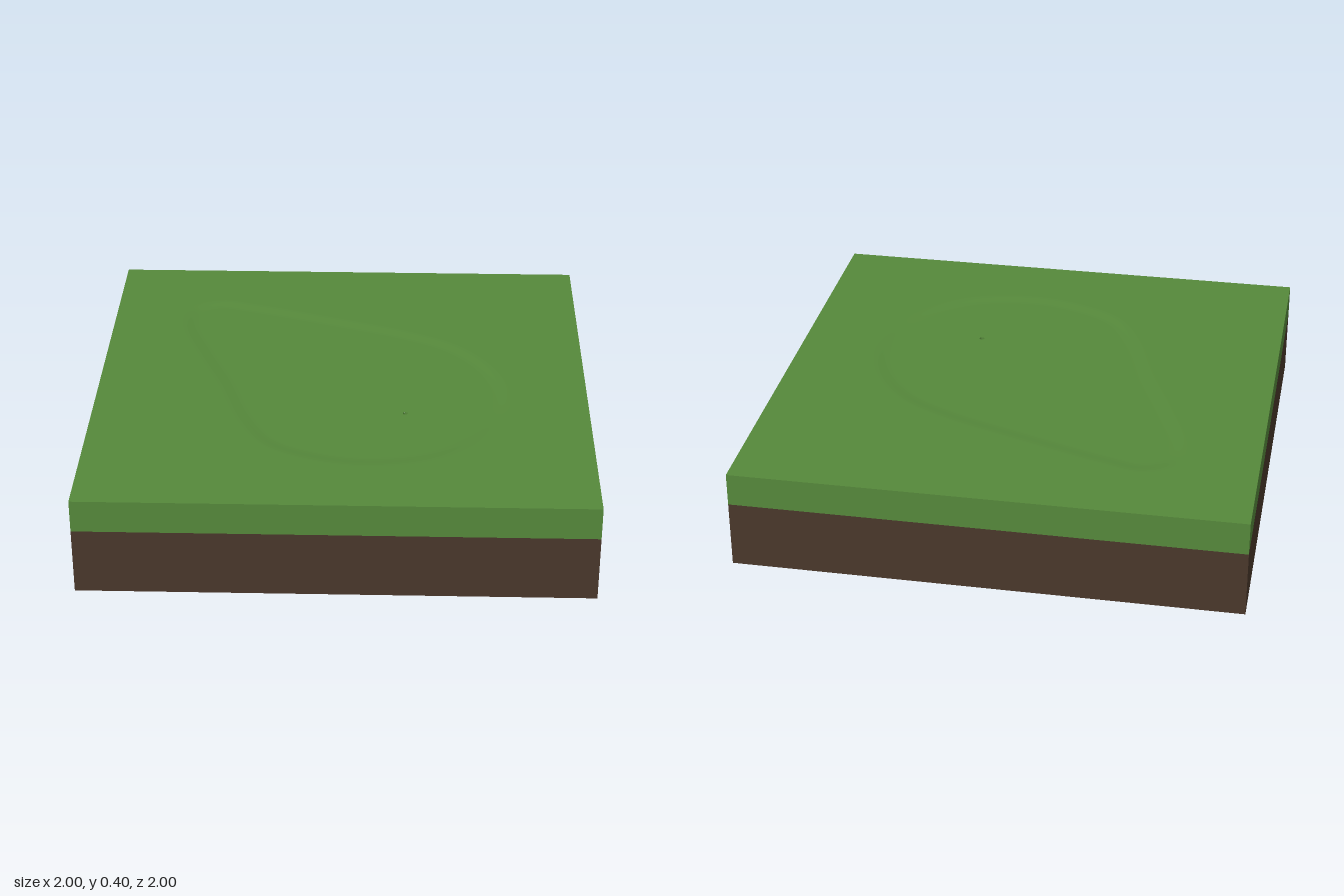
import * as THREE from 'three';

const TOP = 0.4, FLOOR = 0.395, SOIL = 0.268, BAND = 0.035;
const HOLE = { x: 0.26, z: 0.285, r: 0.01, depth: 0.02 };

const grass = new THREE.MeshStandardMaterial({ color: 0x56893b, side: THREE.DoubleSide });
grass.name = 'grass';
const soil = new THREE.MeshStandardMaterial({ color: 0x4a382b, side: THREE.DoubleSide });
soil.name = 'soil';

export function createModel() {
  const model = new THREE.Group();
  model.name = 'turfTile';

  const add = (name, geometry, material, parent = model) => {
    const mesh = new THREE.Mesh(geometry, material);
    mesh.name = name;
    parent.add(mesh);
    return mesh;
  };

  // Outline of the shallow sunken green, as x, z pairs
  const outline = new THREE.CatmullRomCurve3([
    [-0.58, -0.2], [-0.67, -0.47], [-0.655, -0.61], [-0.55, -0.665], [-0.42, -0.635],
    [0, -0.49], [0.25, -0.395], [0.45, -0.28], [0.59, -0.1], [0.65, 0.1], [0.63, 0.3],
    [0.52, 0.5], [0.35, 0.63], [0.1, 0.675], [-0.1, 0.635], [-0.27, 0.54],
    [-0.38, 0.35], [-0.48, 0.05],
  ].map(([x, z]) => new THREE.Vector3(x, 0, z)), true);
  const N = 120;
  const ring = (offset) => Array.from({ length: N }, (_, i) => {
    const p = outline.getPoint(i / N), t = outline.getTangent(i / N);
    return new THREE.Vector2(p.x + t.z * offset, p.z - t.x * offset);
  });
  const flip = (points) => points.map((p) => new THREE.Vector2(p.x, -p.y));
  const flat = (shape, y) => new THREE.ShapeGeometry(shape, 16).rotateX(-Math.PI / 2).translate(0, y, 0);

  // Level turf around the green
  const surround = new THREE.Shape([[-1, -1], [1, -1], [1, 1], [-1, 1]].map((p) => new THREE.Vector2(...p)));
  surround.holes.push(new THREE.Path(flip(ring(BAND))));
  add('surroundingTurf', flat(surround, TOP), grass);

  // Sunken floor with the hole cut out
  const floor = new THREE.Shape(flip(ring(-BAND)));
  floor.holes.push(new THREE.Path().absarc(HOLE.x, -HOLE.z, HOLE.r, 0, Math.PI * 2, true));
  add('sunkenGreen', flat(floor, FLOOR), grass);

  // Soft slope joining the two levels
  const rows = 6, positions = [], index = [];
  for (let k = 0; k <= rows; k++) {
    const s = k / rows;
    const y = THREE.MathUtils.lerp(TOP, FLOOR, s * s * (3 - 2 * s));
    for (const p of ring(BAND * (1 - 2 * s))) positions.push(p.x, y, p.y);
  }
  for (let k = 0; k < rows; k++) {
    for (let i = 0; i < N; i++) {
      const a = k * N + i, b = k * N + (i + 1) % N;
      index.push(a, a + N, b, b, a + N, b + N);
    }
  }
  const slope = new THREE.BufferGeometry();
  slope.setAttribute('position', new THREE.Float32BufferAttribute(positions, 3));
  slope.setIndex(index);
  slope.computeVertexNormals();
  add('greenSlope', slope, grass);

  // Small cup in the hole
  const cup = new THREE.CylinderGeometry(HOLE.r, HOLE.r, HOLE.depth, 16, 1, true);
  add('cupWall', cup, grass).position.set(HOLE.x, FLOOR - HOLE.depth / 2, HOLE.z);
  const base = new THREE.CircleGeometry(HOLE.r, 16).rotateX(-Math.PI / 2);
  add('cupFloor', base, grass).position.set(HOLE.x, FLOOR - HOLE.depth, HOLE.z);

  // Four thin walls, open underneath: turf edge above soil
  ['front', 'left', 'back', 'right'].forEach((side, i) => {
    const wall = new THREE.Group();
    wall.name = side + 'Wall';
    wall.rotation.y = i * Math.PI / 2;
    add('turfEdge', new THREE.PlaneGeometry(2, TOP - SOIL).translate(0, (TOP + SOIL) / 2, 1), grass, wall);
    add('soilEdge', new THREE.PlaneGeometry(2, SOIL).translate(0, SOIL / 2, 1), soil, wall);
    model.add(wall);
  });

  return model;
}
